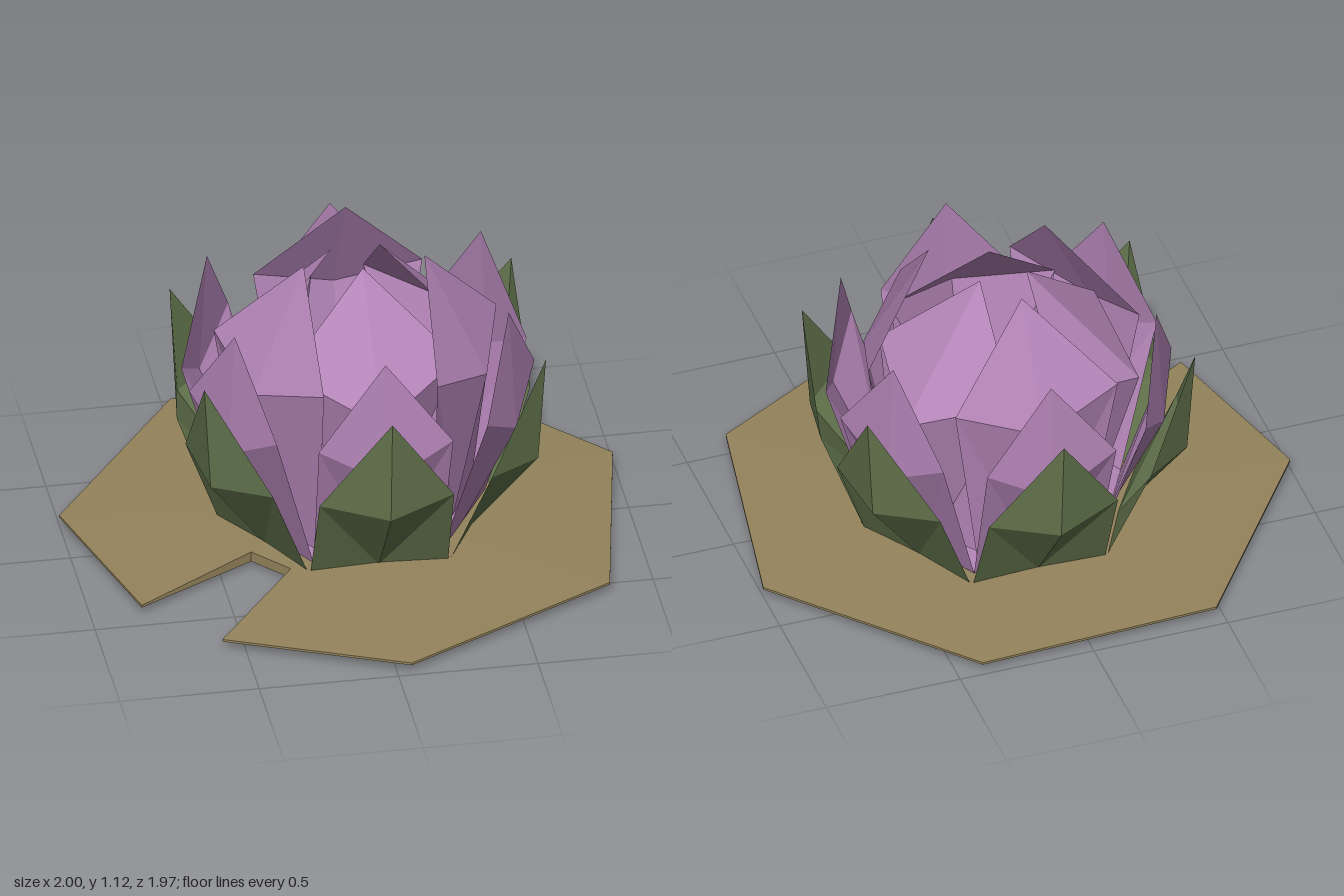
import * as THREE from 'three';

const purple = new THREE.MeshStandardMaterial({ name: 'petal purple', color: 0xb485b8, flatShading: true, side: THREE.DoubleSide });
const green = new THREE.MeshStandardMaterial({ name: 'sepal green', color: 0x64764e, flatShading: true, side: THREE.DoubleSide });
const olive = new THREE.MeshStandardMaterial({ name: 'pad olive', color: 0x94845c, flatShading: true });

// Flat-faced geometry from points and triangle indices
function faceted(points, index) {
  const g = new THREE.BufferGeometry();
  g.setAttribute('position', new THREE.Float32BufferAttribute(points.flat(), 3));
  g.setIndex(index);
  const flat = g.toNonIndexed();
  flat.computeVertexNormals();
  return flat;
}

// Cupped petal pointing to +z, facing the flower axis: root point, rows of (edge, ridge, edge), tip.
// Each row is [half width, edge radius, edge y, ridge radius, ridge y].
function petalGeometry(rootY, rows, tipR, tipY) {
  const points = [[0, rootY, 0]];
  for (const [w, er, ey, cr, cy] of rows) points.push([-w, ey, er], [0, cy, cr], [w, ey, er]);
  const tip = points.push([0, tipY, tipR]) - 1;
  const index = [];
  for (let c = 0; c < 2; c++) {
    index.push(0, 1 + c, 2 + c);
    for (let r = 0; r < rows.length - 1; r++) {
      const a = 1 + r * 3 + c, b = a + 1, d = a + 3, e = a + 4;
      // Mirror the diagonal so both halves match
      if (c === 0) index.push(a, d, b, b, d, e);
      else index.push(a, d, e, a, e, b);
    }
    const last = 1 + (rows.length - 1) * 3 + c;
    index.push(last, tip, last + 1);
  }
  return faceted(points, index);
}

// Ring of equal petals around the flower axis
function whorl(name, geometry, material, count, start) {
  const ring = new THREE.Group();
  ring.name = name + 'Ring';
  for (let i = 0; i < count; i++) {
    const mesh = new THREE.Mesh(geometry, material);
    mesh.name = name;
    mesh.rotation.y = start + (i * 2 * Math.PI) / count;
    ring.add(mesh);
  }
  return ring;
}

// Thin lens-shaped pad with a notch that stops halfway to the middle
function padGeometry() {
  const middle = [0.04, -0.09], notch = 0.49;
  const rim = [[-0.82, 0.43], [-1, -0.23], [-0.475, -0.95], [0.41, -0.985],
    [1, -0.32], [0.835, 0.56], [0.05, 0.985], [-0.58, 0.71]];
  const topY = [0.075, 0.04], bottomY = [0.008, 0.031];
  const points = [[middle[0], topY[0], middle[1]], [middle[0], bottomY[0], middle[1]]];
  const addPair = ([x, z], t) => {
    const px = THREE.MathUtils.lerp(middle[0], x, t), pz = THREE.MathUtils.lerp(middle[1], z, t);
    points.push([px, THREE.MathUtils.lerp(...topY, t), pz], [px, THREE.MathUtils.lerp(...bottomY, t), pz]);
  };
  for (const p of rim) addPair(p, 1);
  addPair(rim[rim.length - 1], notch);
  addPair(rim[0], notch);
  const count = rim.length + 2;
  const index = [];
  for (let i = 0; i < count; i++) {
    const a = 2 + i * 2, b = 2 + ((i + 1) % count) * 2;
    index.push(0, b, a, 1, a + 1, b + 1); // top and underside
    index.push(a, b, a + 1, b, b + 1, a + 1); // rim and notch walls
  }
  return faceted(points, index);
}

export function createModel() {
  const model = new THREE.Group();
  model.name = 'waterLily';

  const pad = new THREE.Mesh(padGeometry(), olive);
  pad.name = 'lilyPad';
  model.add(pad);

  // Flower with four whorls
  const flower = new THREE.Group();
  flower.name = 'flower';
  flower.position.set(0.05, 0, -0.115);
  const sepal = petalGeometry(0, [[0.247, 0.43, 0.03, 0.428, 0.05], [0.241, 0.592, 0.41, 0.678, 0.375]], 0.707, 0.785);
  const outer = petalGeometry(0.08, [[0.228, 0.395, 0.06, 0.4, 0.068], [0.241, 0.575, 0.62, 0.595, 0.48]], 0.567, 0.95);
  const middle = petalGeometry(0.084, [[0.2, 0.35, 0.08, 0.36, 0.08], [0.303, 0.41, 0.78, 0.485, 0.68]], 0.25, 1.12);
  const inner = petalGeometry(0.088, [[0.19, 0.32, 0.09, 0.34, 0.09], [0.31, 0.285, 0.78, 0.505, 0.66]], 0.1, 1.075);
  flower.add(
    whorl('sepal', sepal, green, 6, 0),
    whorl('outerPetal', outer, purple, 6, 0),
    whorl('middlePetal', middle, purple, 3, Math.PI),
    whorl('innerPetal', inner, purple, 3, 0)
  );
  model.add(flower);
  return model;
}
